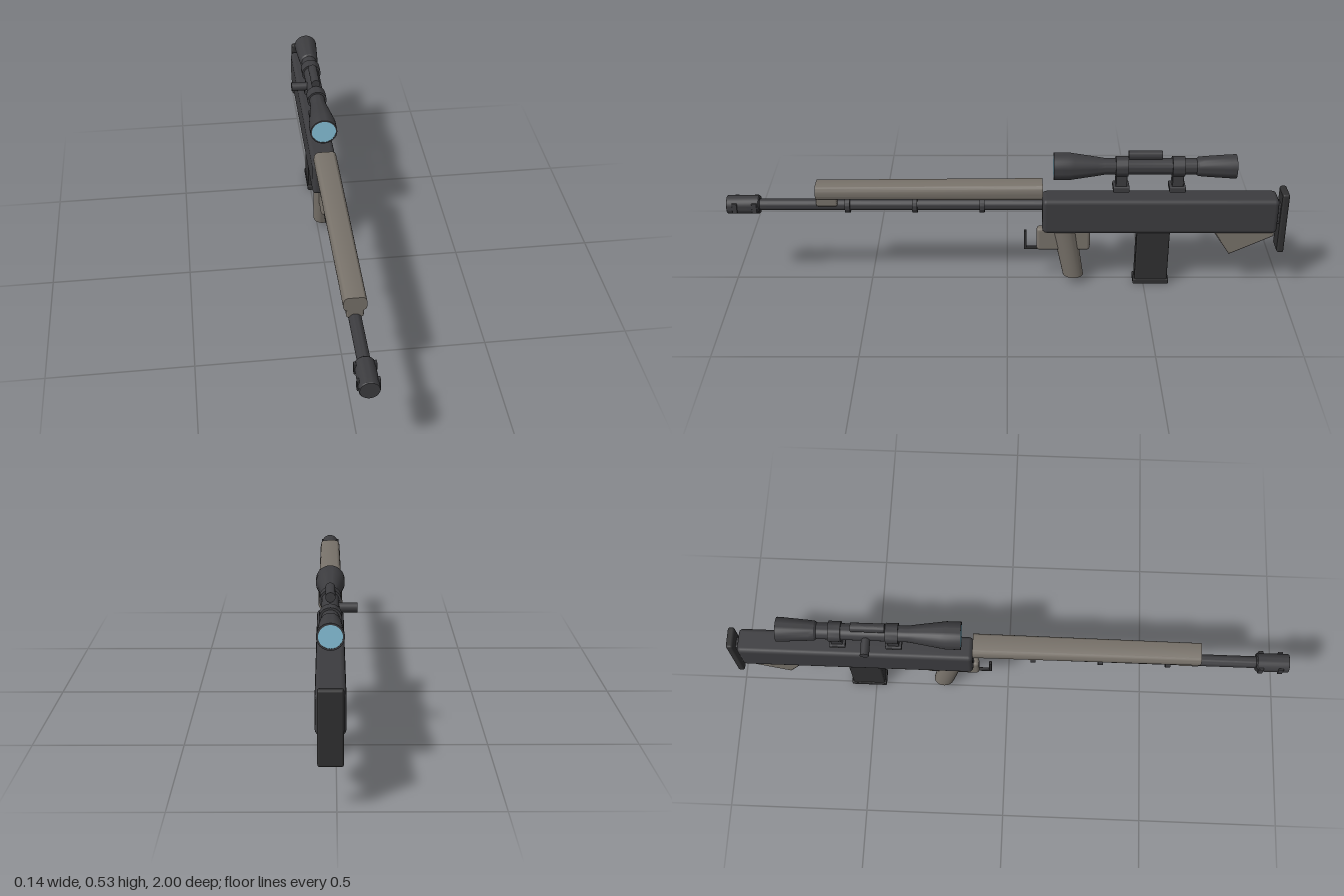
import * as THREE from 'three';
import { toCreasedNormals } from 'three/addons/utils/BufferGeometryUtils.js';
import { RoundedBoxGeometry } from 'three/addons/geometries/RoundedBoxGeometry.js';

const paint = (color) => new THREE.MeshStandardMaterial({ color });
const DARK = paint(0x3c3c3f), BLACK = paint(0x303031), TAN = paint(0x78726a), GLASS = paint(0x88c4dc);

export function createModel() {
  const model = new THREE.Group();
  model.name = 'longRifle';
  const core = new THREE.Group();
  core.name = 'rifleBody';
  core.position.x = 0.018; // the side knob makes the whole lopsided
  model.add(core);

  function add(name, geometry, material, parent = core) {
    const mesh = new THREE.Mesh(geometry, material);
    mesh.name = name;
    parent.add(mesh);
    return mesh;
  }

  // Box given by half width and its y and z limits
  function box(name, half, y0, y1, z0, z1, material, radius = 0.006, parent = core) {
    const g = new RoundedBoxGeometry(half * 2, y1 - y0, z1 - z0, 2, radius);
    const mesh = add(name, g, material, parent);
    mesh.position.set(0, (y0 + y1) / 2, (z0 + z1) / 2);
    return mesh;
  }

  // Lathe about the z axis; points are [radius, z], z rising
  function turned(name, points, y, material, parent = core) {
    const lathe = new THREE.LatheGeometry(points.map(([r, z]) => new THREE.Vector2(r, z)), 32);
    const mesh = add(name, toCreasedNormals(lathe.rotateX(Math.PI / 2), 0.5), material, parent);
    mesh.position.y = y;
    return mesh;
  }

  // Plain cylinder along z
  const rod = (name, r, z0, z1, y, material, parent) =>
    turned(name, [[0, z0], [r, z0], [r, z1], [0, z1]], y, material, parent);

  // Receiver, butt plate and cheek support
  box('receiver', 0.046, 0.222, 0.357, -0.966, -0.125, DARK, 0.016);
  box('buttPlate', 0.039, 0.14, 0.378, -1, -0.975, BLACK, 0.008);
  box('buttConnector', 0.02, 0.25, 0.33, -0.98, -0.955, DARK, 0.004);

  const wedge = new THREE.Shape(
    [[0.742, 0.23], [0.806, 0.137], [0.953, 0.209], [0.953, 0.23]].map(([u, v]) => new THREE.Vector2(u, v)));
  const wedgeGeometry = new THREE.ExtrudeGeometry(wedge, {
    depth: 0.044, bevelThickness: 0.01, bevelSize: 0.007, bevelSegments: 2 });
  wedgeGeometry.translate(0, 0, -0.022).rotateY(Math.PI / 2);
  add('stockWedge', toCreasedNormals(wedgeGeometry, 0.5), TAN);

  // Barrel with rings and muzzle
  rod('barrel', 0.021, -0.15, 0.9, 0.32, DARK);
  for (const z of [0.09, 0.33, 0.57]) rod('barrelRing', 0.03, z - 0.009, z + 0.009, 0.32, DARK);
  turned('muzzle', [[0, 0.883], [0.03, 0.883], [0.033, 0.887], [0.033, 0.997], [0.031, 1], [0, 1]], 0.32, DARK);
  for (const side of [-1, 1]) {
    for (const z of [0.9, 0.97]) {
      const fin = box('muzzleFin', 0.004, 0.302, 0.34, z - 0.009, z + 0.009, DARK, 0.002);
      fin.position.x = side * 0.032;
    }
  }

  // Handguard: rounded section, slightly slimmer and lower at the front
  const guard = new THREE.Shape();
  guard.moveTo(-0.03, 0.355);
  guard.lineTo(0.03, 0.355);
  guard.quadraticCurveTo(0.042, 0.358, 0.042, 0.38);
  guard.quadraticCurveTo(0.042, 0.412, 0.022, 0.412);
  guard.lineTo(-0.022, 0.412);
  guard.quadraticCurveTo(-0.042, 0.412, -0.042, 0.38);
  guard.quadraticCurveTo(-0.042, 0.358, -0.03, 0.355);
  const guardGeometry = new THREE.ExtrudeGeometry(guard, { depth: 0.805, bevelEnabled: false, curveSegments: 8 });
  guardGeometry.translate(0, 0, -0.125);
  const p = guardGeometry.attributes.position;
  for (let i = 0; i < p.count; i++) {
    const t = (p.getZ(i) + 0.125) / 0.805;
    p.setX(i, p.getX(i) * (1 - 0.08 * t));
    p.setY(i, 0.355 + (p.getY(i) - 0.355) * (1 - 0.1 * t));
  }
  add('handguard', toCreasedNormals(guardGeometry, 0.5), TAN);
  box('handguardFoot', 0.028, 0.325, 0.365, 0.605, 0.68, TAN, 0.006);

  // Grip: tapered oval leaning back
  const gripGeometry = new THREE.CylinderGeometry(0.036, 0.031, 0.2, 28);
  gripGeometry.scale(1, 1, 1.2);
  gripGeometry.applyMatrix4(new THREE.Matrix4().set(1, 0, 0, 0, 0, 1, 0, 0.128, 0, 0.19, 1, -0.223, 0, 0, 0, 1));
  add('grip', toCreasedNormals(gripGeometry, 0.6), TAN);
  box('triggerHousing', 0.017, 0.136, 0.228, -0.3, -0.106, TAN, 0.012);
  box('triggerGuardFront', 0.006, 0.136, 0.214, -0.07, -0.06, BLACK, 0.002);
  box('triggerGuardBase', 0.006, 0.136, 0.145, -0.115, -0.06, BLACK, 0.002);

  // Magazine
  box('magazine', 0.027, 0.01, 0.235, -0.586, -0.467, BLACK, 0.006);
  box('magazineBase', 0.03, 0, 0.022, -0.592, -0.461, BLACK, 0.005);

  // Scope
  const scope = new THREE.Group();
  scope.name = 'scope';
  core.add(scope);
  const axis = 0.473;
  turned('scopeTube', [
    [0, -0.801], [0.037, -0.801], [0.037, -0.805], [0.043, -0.805], [0.042, -0.78], [0.036, -0.69],
    [0.034, -0.672], [0.029, -0.665], [0.029, -0.345], [0.034, -0.315], [0.046, -0.235], [0.049, -0.215],
    [0.049, -0.163], [0.044, -0.163], [0.044, -0.168], [0, -0.168]], axis, DARK, scope);
  rod('frontLens', 0.044, -0.17, -0.164, axis, GLASS, scope);
  rod('rearLens', 0.037, -0.804, -0.799, axis, GLASS, scope);
  for (const z of [-0.403, -0.602]) {
    rod('scopeRing', 0.036, z - 0.022, z + 0.022, axis, DARK, scope);
    box('mountPost', 0.021, 0.39, 0.455, z - 0.02, z + 0.02, DARK, 0.003, scope);
    box('mountFoot', 0.028, 0.382, 0.403, z - 0.029, z + 0.029, DARK, 0.004, scope);
  }
  rod('topDial', 0.016, -0.543, -0.425, 0.518, DARK, scope);
  const knob = add('sideKnob', new THREE.CylinderGeometry(0.016, 0.016, 0.07, 24), DARK, scope);
  knob.rotation.z = Math.PI / 2;
  knob.position.set(-0.051, 0.471, -0.493);

  return model;
}
